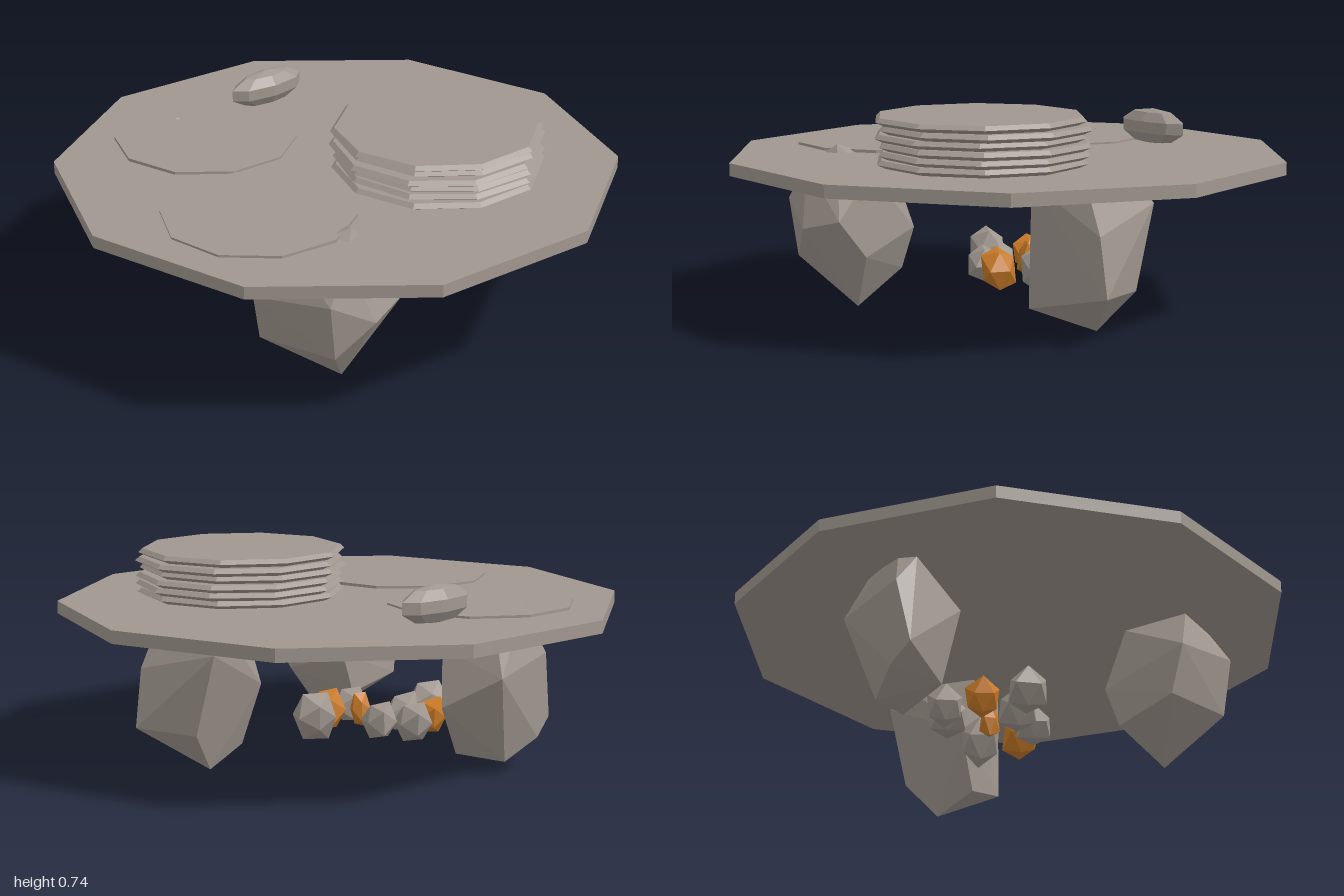
import * as THREE from 'three';
import { ConvexGeometry } from 'three/addons/geometries/ConvexGeometry.js';

const stone = new THREE.MeshStandardMaterial({ color: 0xa0978f });
stone.name = 'warm grey stone';
const ember = new THREE.MeshStandardMaterial({ color: 0xc87a26 });
ember.name = 'ember orange';

let seed = 7;
function rand() {
  seed = (seed * 16807) % 2147483647;
  return seed / 2147483647;
}

export function createModel() {
  const group = new THREE.Group();

  function add(name, geometry, material, x = 0, y = 0, z = 0) {
    const mesh = new THREE.Mesh(geometry, material);
    mesh.name = name;
    mesh.position.set(x, y, z);
    group.add(mesh);
    return mesh;
  }

  // Faceted rock as the hull of a few corner points
  function hull(points) {
    return new ConvexGeometry(points.map((p) => new THREE.Vector3(...p)));
  }

  // Small stone: icosahedron corners pushed in and out
  function pebble(sx, sy, sz) {
    const t = 1.618;
    const pts = [];
    for (const a of [-1, 1]) for (const b of [-t, t]) pts.push([0, a, b], [a, b, 0], [b, 0, a]);
    return hull(pts.map((p) => {
      const k = (0.82 + 0.3 * rand()) / 1.9;
      return [p[0] * k * sx, p[1] * k * sy, p[2] * k * sz];
    }));
  }

  // Thin ten-sided disc
  function disc(r, h, turn) {
    const g = new THREE.CylinderGeometry(r, r, h, 10, 1, false, turn).toNonIndexed();
    g.computeVertexNormals();
    return g;
  }

  // Table slab
  add('tableSlab', disc(1.012, 0.045, 0.16), stone, 0, 0.5525, 0);

  // Three supporting boulders
  add('frontBoulder', hull([
    [-0.08, 0.005, 0.54], [-0.385, 0.35, 0.56], [-0.36, 0.17, 0.52], [-0.16, 0.4, 0.78],
    [-0.14, 0.19, 0.75], [0.0, 0.31, 0.74], [0.12, 0.35, 0.62], [0.06, 0.21, 0.52],
    [-0.1, 0.29, 0.33], [-0.15, 0.13, 0.37], [-0.26, 0.53, 0.6], [-0.1, 0.53, 0.72],
    [0.03, 0.51, 0.5], [-0.1, 0.53, 0.41], [-0.06, 0.605, 0.61],
  ]), stone);
  add('leftBoulder', hull([
    [0.385, 0.54, -0.1], [0.33, 0.3, -0.15], [0.39, 0.075, -0.1], [0.53, 0.02, -0.22],
    [0.785, 0.18, -0.2], [0.76, 0.385, -0.18], [0.69, 0.54, -0.15], [0.55, 0.54, 0.01],
    [0.5, 0.1, 0.01], [0.6, 0.17, -0.34], [0.55, 0.46, -0.41], [0.5, 0.54, -0.35],
  ]), stone);
  add('backBoulder', hull([
    [-0.62, 0.42, -0.45], [-0.655, 0.18, -0.4], [-0.59, 0.12, -0.46], [-0.455, 0.05, -0.5],
    [-0.31, 0.065, -0.4], [-0.4, 0.37, -0.615], [-0.23, 0.25, -0.48], [-0.25, 0.45, -0.42],
    [-0.45, 0.12, -0.28], [-0.45, 0.4, -0.22], [-0.4, 0.54, -0.53], [-0.53, 0.59, -0.44],
    [-0.58, 0.53, -0.38],
  ]), stone);

  // Ring of small stones around the embers
  const ring = [
    [0.12, 0.16, -0.1, 0.085], [-0.08, 0.16, -0.23, 0.07], [-0.24, 0.13, 0.0, 0.075],
    [-0.34, 0.16, 0.02, 0.08], [-0.06, 0.15, 0.08, 0.07], [-0.2, 0.15, -0.25, 0.07],
  ];
  for (const [x, y, z, r] of ring) add('hearthStone', pebble(r, r * 1.1, r), stone, x, y, z);

  const embers = [
    [0.04, 0.15, 0.04, 0.07, 0.09], [-0.3, 0.14, -0.13, 0.07, 0.075], [-0.05, 0.17, -0.08, 0.04, 0.07],
  ];
  for (const [x, y, z, r, h] of embers) add('ember', pebble(r, h, r), ember, x, y, z);

  // Two single plates lying almost flush with the slab
  const rearPlate = add('rearPlate', disc(0.335, 0.012, 0.18), stone, -0.44, 0.578, -0.27);
  rearPlate.rotation.z = -0.008;
  const frontPlate = add('frontPlate', disc(0.335, 0.012, 0.09), stone, -0.34, 0.578, 0.4);
  frontPlate.rotation.z = 0.006;

  // Stack of plates, each with a sharp rim and slightly shifted
  const layers = 6;
  const h = 0.172 / layers;
  for (let i = 0; i < layers; i++) {
    const rim = [[0, 0], [0.345, 0], [0.375, h * 0.5], [0.36, h], [0, h]];
    const g = new THREE.LatheGeometry(rim.map((p) => new THREE.Vector2(...p)), 10, 0.16 + (rand() - 0.5) * 0.12)
      .toNonIndexed();
    g.computeVertexNormals();
    add('stackedPlate', g, stone, 0.335 + (rand() - 0.5) * 0.02, 0.576 + i * h, 0.14 + (rand() - 0.5) * 0.02);
  }

  // Long rounded loaf at the back
  const loafShape = new THREE.SphereGeometry(1, 8, 5).scale(0.17, 0.067, 0.06).toNonIndexed();
  loafShape.computeVertexNormals();
  add('loaf', loafShape, stone, -0.17, 0.635, -0.58).rotation.y = 0.52;

  return group;
}
